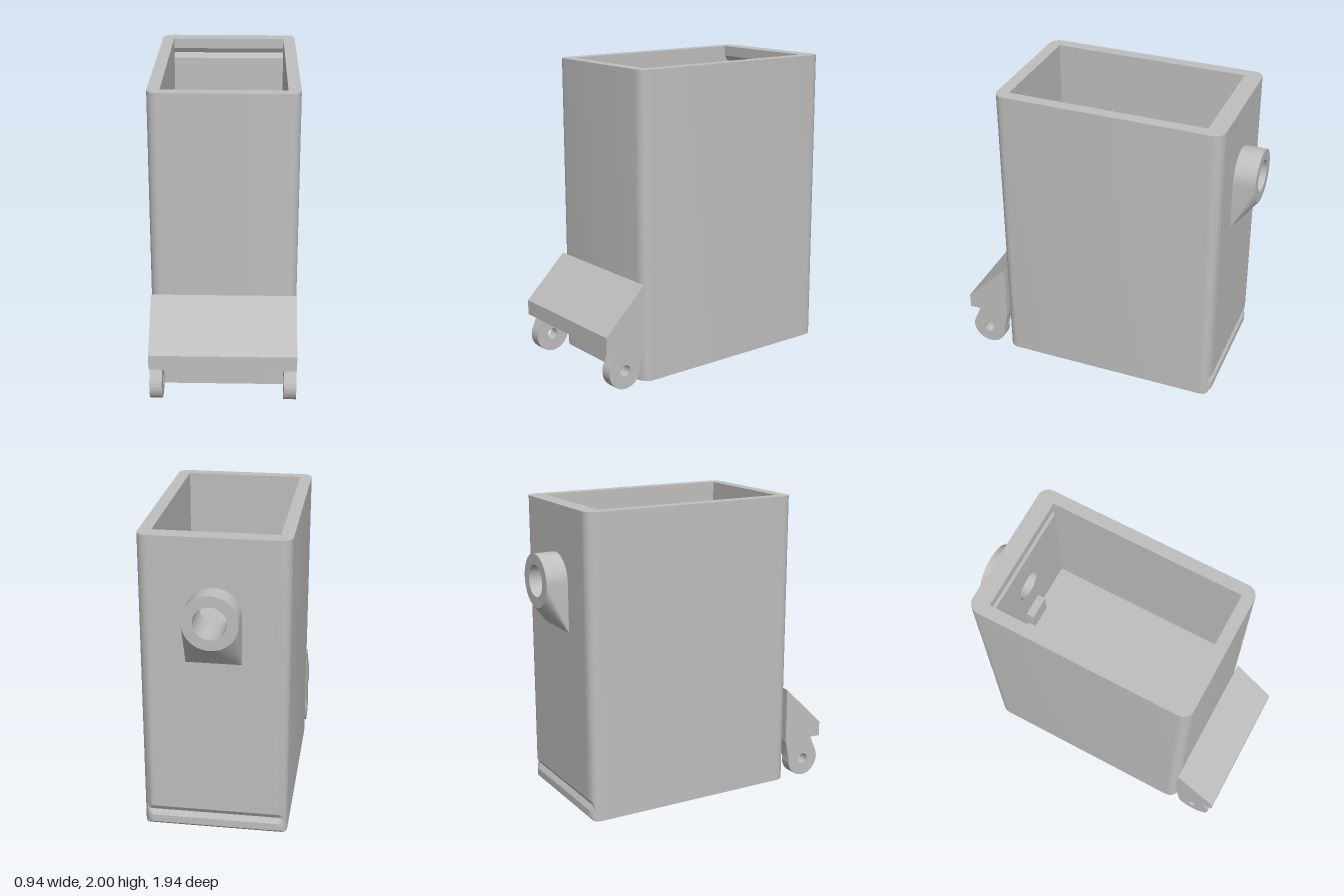
import * as THREE from 'three';
import { toCreasedNormals } from 'three/addons/utils/BufferGeometryUtils.js';

const W = 0.47, FRONT = 0.68, BACK = -0.825;        // outer shell
const IW = 0.39, IFRONT = 0.6, IBACK = -0.71;       // inner shell
const PORT = { y: 1.515, r: 0.175, hole: 0.105, z: -0.97 };

// Rectangle outline in x/z with rounded corners (n steps each, n = 0 for sharp)
function outline(w, z0, z1, r, n) {
  const pts = [];
  [[1, z1], [-1, z1], [-1, z0], [1, z0]].forEach(([sx, z], k) => {
    const cx = sx * (w - r), cz = z + (k < 2 ? -r : r);
    for (let i = 0; i <= n; i++) {
      const a = (k + (n ? i / n : 0)) * Math.PI / 2;
      pts.push([cx + r * Math.cos(a), cz + r * Math.sin(a)]);
    }
  });
  return pts;
}

// Skin between successive rings of [x, y, z] points
function loft(rings, flip, skip = () => false) {
  const pos = [];
  for (let i = 0; i < rings.length - 1; i++) {
    const n = rings[i].length;
    for (let j = 0; j < n; j++) {
      if (skip(i, j)) continue;
      const k = (j + 1) % n;
      const a = rings[i][j], b = rings[i][k], c = rings[i + 1][k], d = rings[i + 1][j];
      for (const t of [[a, d, c], [a, c, b]]) {
        const [p, q, r] = t.map(v => new THREE.Vector3(...v));
        if (q.clone().sub(p).cross(r.clone().sub(p)).length() < 1e-9) continue;
        for (const v of flip ? [t[0], t[2], t[1]] : t) pos.push(...v);
      }
    }
  }
  const g = new THREE.BufferGeometry();
  g.setAttribute('position', new THREE.Float32BufferAttribute(pos, 3));
  g.computeVertexNormals();
  return toCreasedNormals(g, 0.48);
}

// Flat ring closing the shell; s = -1 faces up, s = 1 faces down
function rim(outer, inner, y, s) {
  const path = p => p.map(([x, z]) => new THREE.Vector2(x, s * z));
  const shape = new THREE.Shape(path(outer));
  shape.holes.push(new THREE.Path(path(inner)));
  return new THREE.ShapeGeometry(shape).rotateX(s * Math.PI / 2).translate(0, y, 0);
}

// Back wall panel pierced by the port
function panel(w, y0, y1, z, out) {
  const shape = new THREE.Shape([[-w, y0], [w, y0], [w, y1], [-w, y1]].map(p => new THREE.Vector2(...p)));
  shape.holes.push(new THREE.Path().absarc(0, PORT.y, PORT.hole, 0, Math.PI * 2, true));
  const g = new THREE.ShapeGeometry(shape, 24);
  return (out ? g.rotateY(Math.PI) : g).translate(0, 0, z);
}

// Side profile drawn in z/y, extruded across x
function across(shape, x0, width) {
  const g = new THREE.ExtrudeGeometry(shape, { depth: width, bevelEnabled: false, curveSegments: 24 });
  return toCreasedNormals(g.rotateY(-Math.PI / 2).translate(x0 + width, 0, 0), 0.48);
}

export function createModel() {
  const group = new THREE.Group();
  const grey = new THREE.MeshStandardMaterial({ color: 0xbfbfbf, side: THREE.DoubleSide });
  grey.name = 'grey plastic';
  const add = (name, geometry) => {
    const mesh = new THREE.Mesh(geometry, grey);
    mesh.name = name;
    group.add(mesh);
  };

  // Outer shell, with a snap groove low on the back
  const R = 0.07, N = 6;
  const outer = outline(W, BACK, FRONT, R, N);
  const clamp = limit => outer.map(([x, z]) => [x, Math.max(z, limit)]);
  const outerLevels = [[0, -0.805], [0.02, BACK], [0.07, BACK], [0.105, -0.803], [0.14, BACK], [2, BACK]];
  add('outerShell', loft(outerLevels.map(([y, b]) => clamp(b).map(([x, z]) => [x, y, z])), false,
    (i, j) => i === 4 && j === 3 * (N + 1) - 1));
  add('outerBackPanel', panel(W - R, 0.14, 2, BACK, true));

  // Inner shell, with the matching groove near the top
  const inner = outline(IW, IBACK, IFRONT, 0, 0);
  const innerLevels = [[0, IBACK], [1.86, IBACK], [1.895, -0.732], [1.93, IBACK], [2, IBACK]];
  add('innerShell', loft(innerLevels.map(([y, b]) => outline(IW, b, IFRONT, 0, 0).map(([x, z]) => [x, y, z])), true,
    (i, j) => i === 0 && j === 2));
  add('innerBackPanel', panel(IW, 0, 1.86, IBACK, false));
  add('topRim', rim(outer, inner, 2, -1));
  add('bottomRim', rim(clamp(-0.805), inner, 0, 1));

  // Dividing floor and the small tab on the inner back wall
  add('floor', new THREE.BoxGeometry(2 * IW, 0.08, IFRONT - IBACK).translate(0, 1, (IFRONT + IBACK) / 2));
  add('innerTab', new THREE.BoxGeometry(0.16, 0.16, 0.055).translate(0, 1.12, IBACK + 0.0275));

  // Port: round collar blending into a square-footed 45 degree support
  const base = [], end = [];
  for (let q = 0; q < 4; q++) {
    for (let i = 0; i <= 12; i++) {
      const a = (q + i / 12) * Math.PI / 2;
      const x = PORT.r * Math.cos(a), y = PORT.y + PORT.r * Math.sin(a);
      end.push([x, y, PORT.z]);
      base.push(q < 2 ? [x, y, BACK] : [q === 2 ? -PORT.r : PORT.r, 1.193, BACK]);
    }
  }
  add('portCollar', loft([base, end], false));
  add('portFace', new THREE.RingGeometry(PORT.hole, PORT.r, 48).rotateY(Math.PI).translate(0, PORT.y, PORT.z));
  const bore = new THREE.CylinderGeometry(PORT.hole, PORT.hole, IBACK - PORT.z, 48, 1, true);
  add('portBore', bore.rotateX(Math.PI / 2).translate(0, PORT.y, (IBACK + PORT.z) / 2));

  // Sloped hood across the lower front
  const hood = new THREE.Shape([[FRONT, 0.27], [0.97, 0.27], [0.97, 0.37], [FRONT, 0.655]]
    .map(p => new THREE.Vector2(...p)));
  add('hood', across(hood, -W, 2 * W));

  // Pair of hinge arms with pin holes
  const arm = new THREE.Shape();
  arm.moveTo(FRONT, 0.275);
  arm.lineTo(0.711, 0.137);
  arm.absarc(0.83, 0.12, 0.12, Math.PI * 0.955, Math.PI * 2.155, false);
  arm.lineTo(0.893, 0.275);
  arm.closePath();
  arm.holes.push(new THREE.Path().absarc(0.83, 0.12, 0.037, 0, Math.PI * 2, true));
  add('rightHingeArm', across(arm, -W, W - IW));
  add('leftHingeArm', across(arm, IW, W - IW));

  return group;
}
